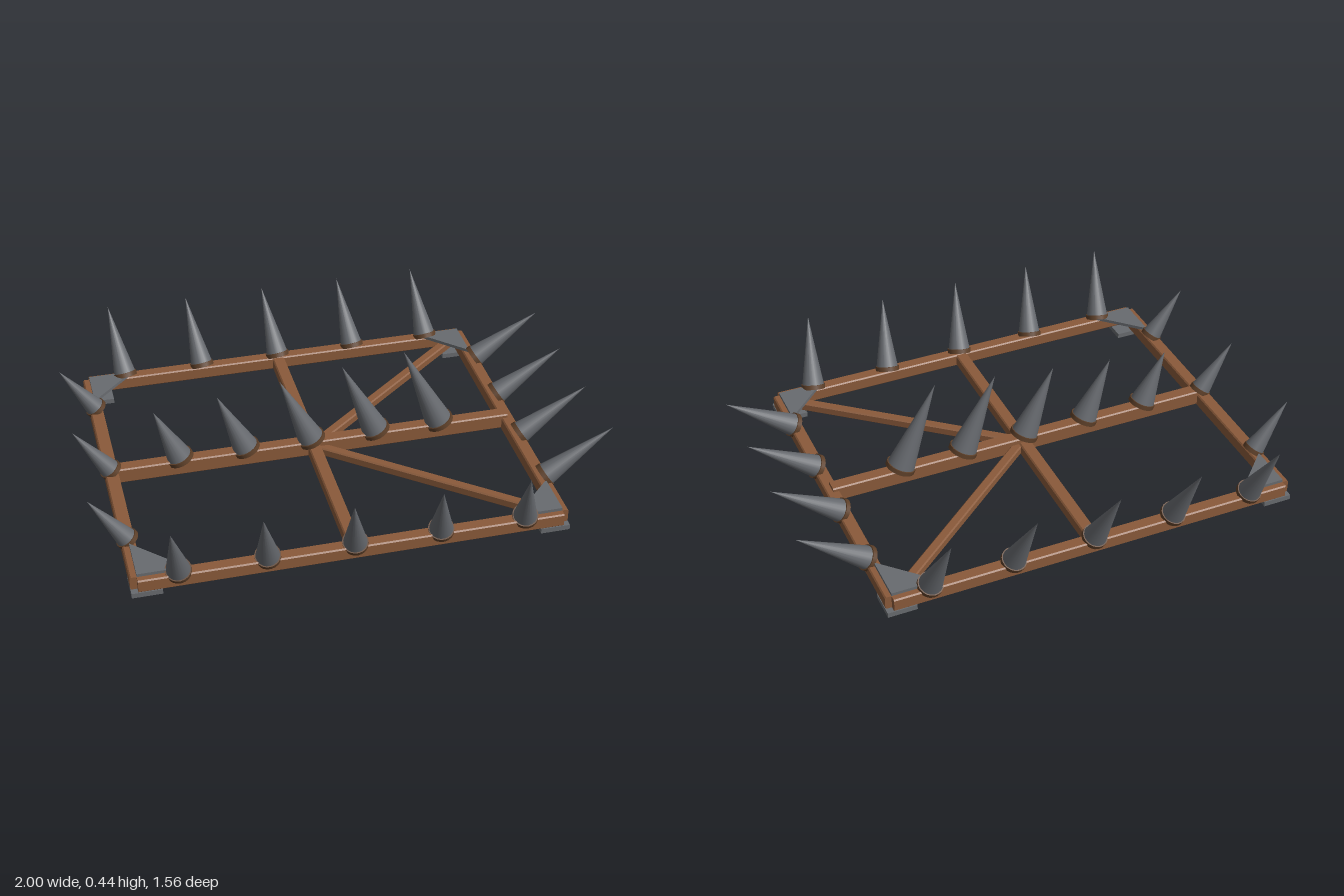
import * as THREE from 'three';

const wood = new THREE.MeshStandardMaterial({ name: 'wood', color: 0x8a5a3a });
const steel = new THREE.MeshStandardMaterial({ name: 'spikeSteel', color: 0x66696e });
const plateSteel = new THREE.MeshStandardMaterial({ name: 'plateSteel', color: 0x686b6f });
const collarRust = new THREE.MeshStandardMaterial({ name: 'collarRust', color: 0x5e4029 });

// Chamfered timber between two points in plan, from height y0 to y1
function beam(name, x0, z0, x1, z1, width, y0, y1) {
  const w = width / 2, h = (y1 - y0) / 2, c = 0.005;
  const section = new THREE.Shape([
    [-w + c, -h], [w - c, -h], [w, -h + c], [w, h - c],
    [w - c, h], [-w + c, h], [-w, h - c], [-w, -h + c],
  ].map(([x, y]) => new THREE.Vector2(x, y)));
  const length = Math.hypot(x1 - x0, z1 - z0);
  const geometry = new THREE.ExtrudeGeometry(section, { depth: length, bevelEnabled: false });
  const mesh = new THREE.Mesh(geometry, wood);
  mesh.name = name;
  mesh.position.set(x0, (y0 + y1) / 2, z0);
  mesh.rotation.y = Math.atan2(x1 - x0, z1 - z0);
  return mesh;
}

// Cone with a collar at its foot, leaning from base to tip
function spike(name, base, tip, radius) {
  const group = new THREE.Group();
  group.name = name;
  const from = new THREE.Vector3(...base);
  const axis = new THREE.Vector3(...tip).sub(from);
  const length = axis.length();
  const cone = new THREE.Mesh(new THREE.ConeGeometry(radius, length, 20), steel);
  cone.name = 'spikeCone';
  cone.position.y = length / 2;
  const collar = new THREE.Mesh(
    new THREE.CylinderGeometry(radius * 1.08, radius * 1.08, 0.018, 20), collarRust);
  collar.name = 'spikeCollar';
  collar.position.y = -0.004;
  group.add(cone, collar);
  group.position.copy(from);
  group.quaternion.setFromUnitVectors(new THREE.Vector3(0, 1, 0), axis.normalize());
  return group;
}

export function createModel() {
  const model = new THREE.Group();
  model.name = 'spikedFrame';
  const left = -0.867, right = 0.729, side = 0.655, mid = -0.068;
  const low = 0.02, top = 0.073;

  // Outer frame, spine, cross beam
  model.add(
    beam('frontBeam', left, side, right, side, 0.052, low, top),
    beam('backBeam', left, -side, right, -side, 0.052, low, top),
    beam('leftEndBeam', left, -side, left, side, 0.052, low, top),
    beam('rightEndBeam', right, -side, right, side, 0.05, low, top),
    beam('spineBeam', left, 0, right, 0, 0.054, 0.025, 0.088),
    beam('crossBeam', mid, -side, mid, side, 0.05, 0.023, 0.071),
  );

  for (const s of [-1, 1]) {
    // Diagonal braces from the centre to the corners
    model.add(beam('diagonalBrace', mid, 0, right - 0.02, s * (side - 0.016), 0.038, 0.03, 0.066));

    for (const [x, inward] of [[left, 1], [right, -1]]) {
      // Triangular gusset on top of each corner
      const leg = 0.18;
      const triangle = new THREE.Shape([
        new THREE.Vector2(x, s * side),
        new THREE.Vector2(x + inward * leg, s * side),
        new THREE.Vector2(x, s * (side - leg)),
      ]);
      const gusset = new THREE.Mesh(
        new THREE.ExtrudeGeometry(triangle, { depth: 0.013, bevelEnabled: false }), plateSteel);
      gusset.name = 'cornerGusset';
      gusset.rotation.x = Math.PI / 2;
      gusset.position.y = top + 0.012;
      model.add(gusset);

      // Square foot under each corner
      const foot = new THREE.Mesh(new THREE.BoxGeometry(0.113, 0.02, 0.113), plateSteel);
      foot.name = 'cornerFoot';
      foot.position.set(x + inward * 0.031, 0.01, s * (side - 0.031));
      model.add(foot);
    }

    // Long side rows, leaning outwards
    for (let i = 0; i < 5; i++) {
      const x = -0.718 + i * 0.325;
      model.add(spike('sideSpike', [x, 0.08, s * 0.658], [x - 0.036, 0.335, s * 0.78], 0.045));
    }
  }

  // End rows
  for (const z of [-0.435, 0, 0.435]) {
    model.add(spike('leftEndSpike', [-0.87, 0.08, z], [-1, 0.27, z], 0.04));
  }
  for (const z of [-0.435, -0.145, 0.145, 0.435]) {
    model.add(spike('rightEndSpike', [0.742, 0.08, z], [1, 0.255, z], 0.045));
  }

  // Spine row, growing taller towards the right end
  for (let i = 0; i < 5; i++) {
    const x = -0.6 + i * 0.261;
    model.add(spike('spineSpike', [x, 0.095, 0],
      [-0.69 + i * 0.246, 0.313 + i * 0.0305, 0], 0.05 + i * 0.0012));
  }
  return model;
}
